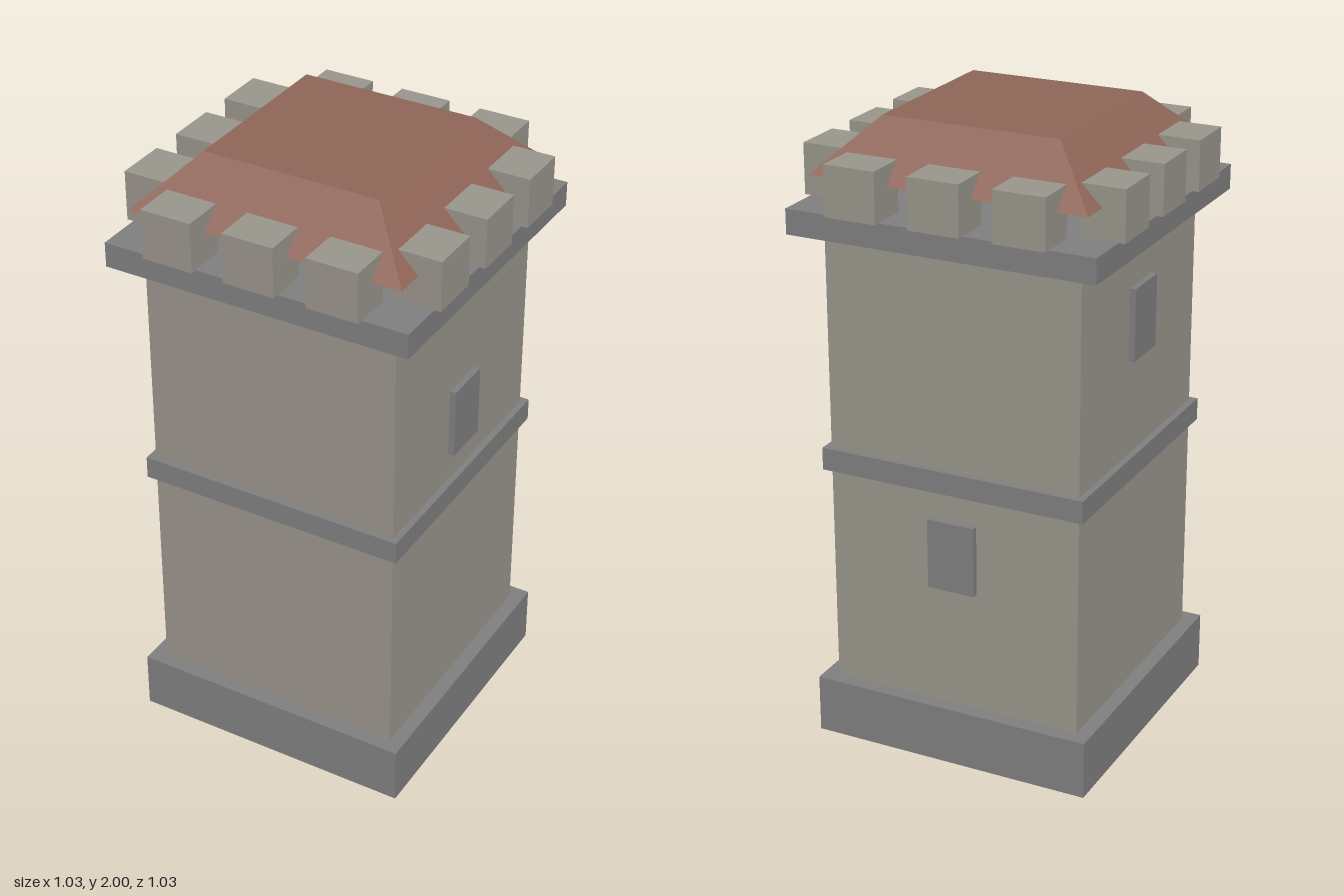
import * as THREE from 'three';

const stone = new THREE.MeshStandardMaterial({ color: 0x99958c, flatShading: true });
const trim = new THREE.MeshStandardMaterial({ color: 0x7f7f7f, flatShading: true });
const tile = new THREE.MeshStandardMaterial({ color: 0x8f6558, flatShading: true });

// Box given by its width, depth and bottom/top heights
function block(name, material, w, d, y0, y1, x = 0, z = 0) {
  const mesh = new THREE.Mesh(new THREE.BoxGeometry(w, y1 - y0, d), material);
  mesh.name = name;
  mesh.position.set(x, (y0 + y1) / 2, z);
  return mesh;
}

export function createModel() {
  const tower = new THREE.Group();
  tower.name = 'tower';

  // Square shaft with plinth, string course and parapet slab
  tower.add(
    block('shaft', stone, 0.83, 0.83, 0, 1.667),
    block('plinth', trim, 0.923, 0.923, 0.002, 0.19),
    block('stringCourse', trim, 0.872, 0.872, 0.905, 0.977),
    block('parapetSlab', trim, 0.992, 0.992, 1.667, 1.746)
  );

  // Three merlons along each side
  const battlements = new THREE.Group();
  battlements.name = 'battlements';
  for (let side = 0; side < 4; side++) {
    const row = new THREE.Group();
    row.name = 'merlonRow';
    row.rotation.y = side * Math.PI / 2;
    for (const x of [-0.268, 0, 0.268]) {
      row.add(block('merlon', stone, 0.165, 0.137, 1.746, 1.904, x, 0.448));
    }
    battlements.add(row);
  }
  tower.add(battlements);

  // Window panels on the left, right and back walls
  tower.add(
    block('leftWindow', trim, 0.04, 0.156, 1.07, 1.297, 0.415),
    block('rightWindow', trim, 0.04, 0.156, 1.283, 1.512, -0.415),
    block('backWindow', trim, 0.156, 0.04, 0.585, 0.812, 0, -0.415)
  );

  // Truncated pyramid roof, raised above the slab
  const roofGeometry = new THREE.CylinderGeometry(
    0.285 * Math.SQRT2, 0.445 * Math.SQRT2, 0.16, 4
  ).rotateY(Math.PI / 4);
  const roof = new THREE.Mesh(roofGeometry, tile);
  roof.name = 'roof';
  roof.position.y = 1.92;
  tower.add(roof);

  return tower;
}
